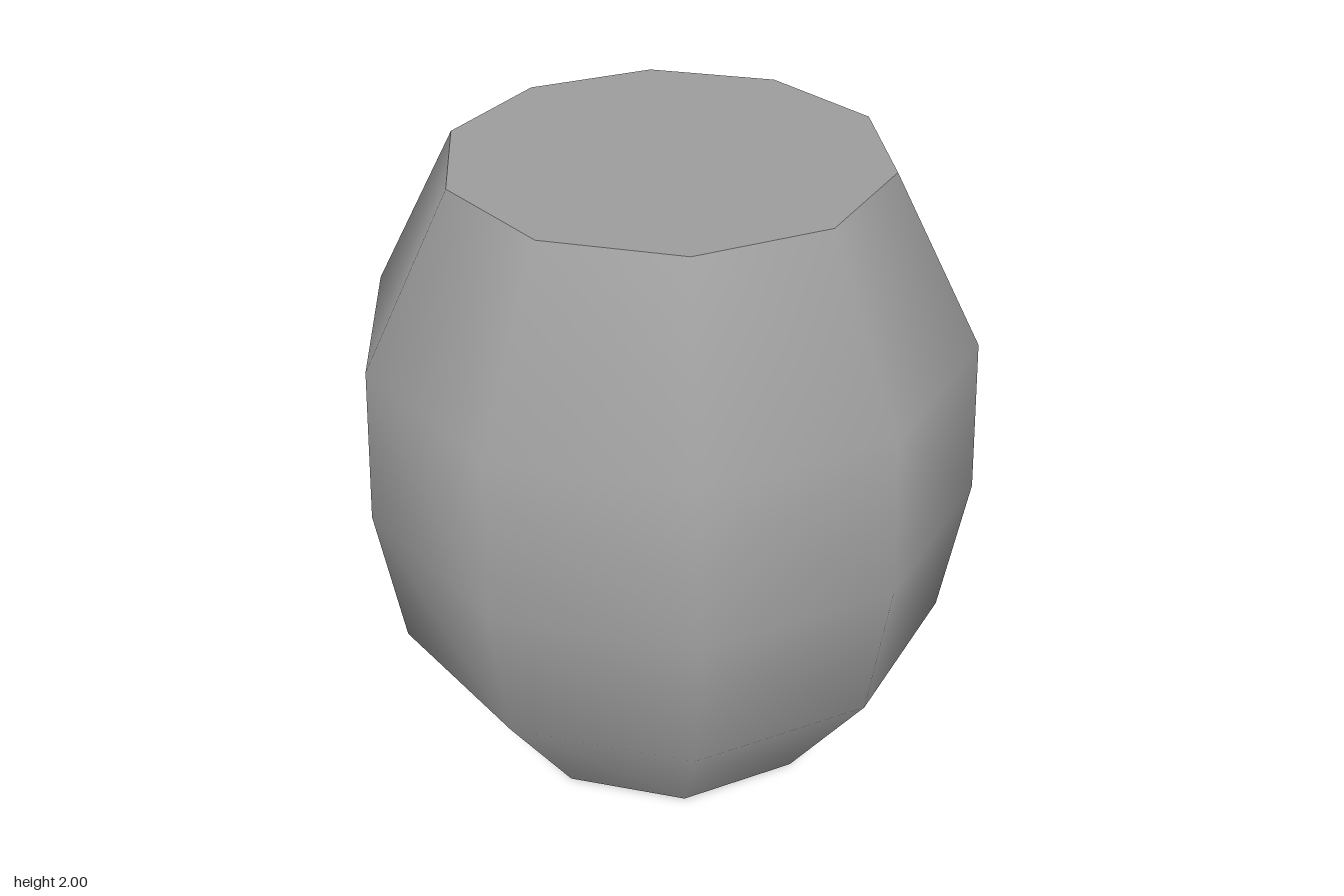
import * as THREE from 'three';

export function createModel() {
  const group = new THREE.Group();
  const grey = new THREE.MeshStandardMaterial({ color: 0xa0a0a0 });
  grey.name = 'grey';

  const sides = 10;
  const endRadius = 0.655;
  // Turns the round plan into the slightly skewed oval of the barrel
  const plan = new THREE.Matrix4().makeBasis(
    new THREE.Vector3(0.106, 0, -0.921),
    new THREE.Vector3(0, 1, 0),
    new THREE.Vector3(0.918, 0, 0.055)
  );

  function add(name, geometry) {
    const mesh = new THREE.Mesh(geometry.applyMatrix4(plan), grey);
    mesh.name = name;
    group.add(mesh);
  }

  // Bulging wall, smooth shaded
  const profile = [[endRadius, 0], [0.948, 0.5], [1, 1], [0.948, 1.5], [endRadius, 2]];
  add('barrelWall', new THREE.LatheGeometry(profile.map(([r, y]) => new THREE.Vector2(r, y)), sides));

  // Flat ends, with corners matching the wall
  const lid = (up) => new THREE.CircleGeometry(endRadius, sides, -up * Math.PI / 2)
    .rotateX(-up * Math.PI / 2)
    .translate(0, 1 + up, 0);
  add('topLid', lid(1));
  add('bottomLid', lid(-1));

  return group;
}
